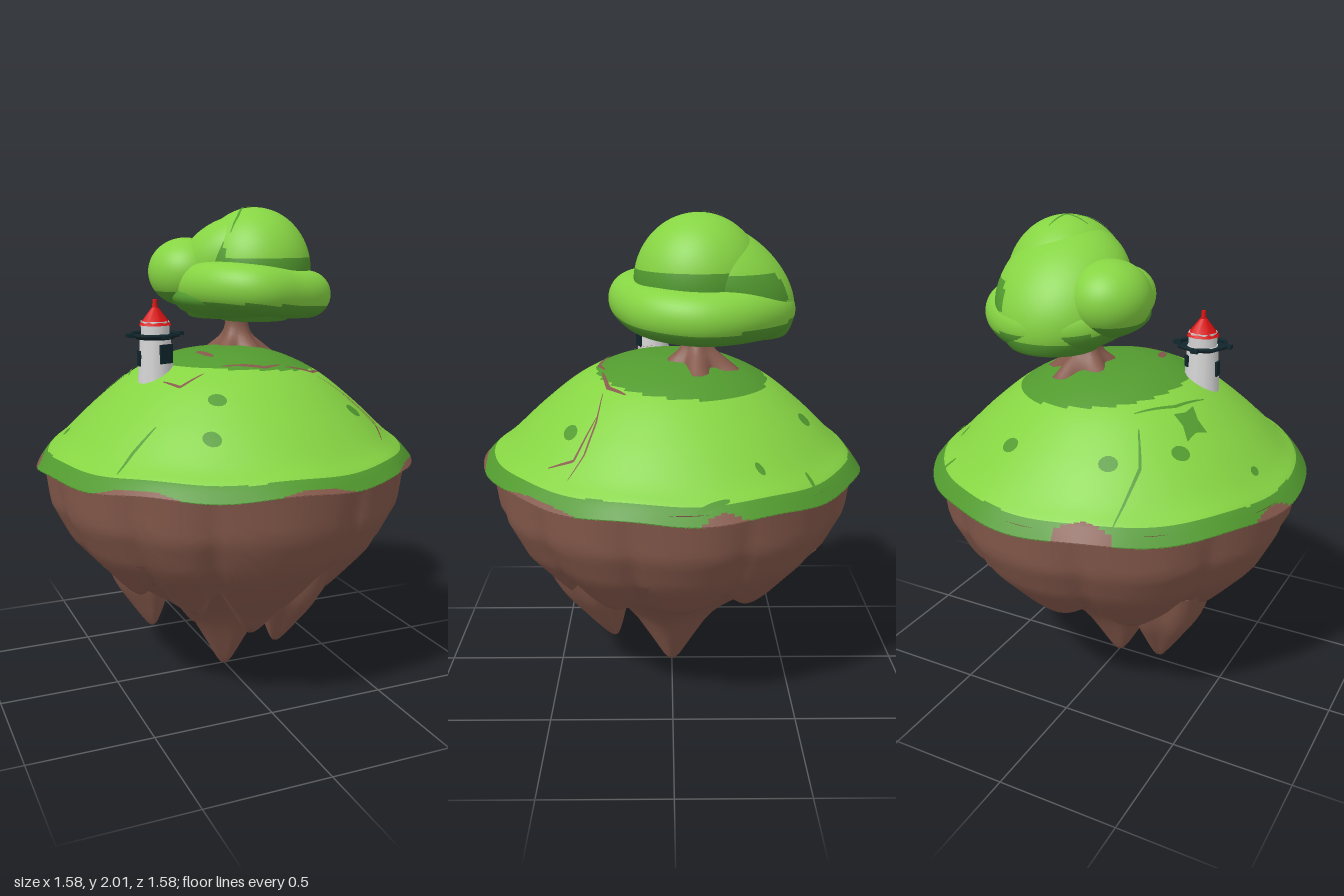
import * as THREE from 'three';
import { mergeVertices } from 'three/addons/utils/BufferGeometryUtils.js';

const mat = (name, color, side = THREE.FrontSide) => {
  const m = new THREE.MeshStandardMaterial({ color, side });
  m.name = name;
  return m;
};
const grass = mat('grass green', 0x86d443, THREE.DoubleSide), moss = mat('dark green', 0x529a2f, THREE.DoubleSide);
const rock = mat('rock brown', 0x85594b, THREE.DoubleSide), red = mat('roof red', 0xd81010);
const white = mat('tower white', 0xd4d4d4), navy = mat('dark navy', 0x10262c, THREE.DoubleSide);

const V2 = (x, y) => new THREE.Vector2(x, y);
const V3 = (x, y, z) => new THREE.Vector3(x, y, z);

// piecewise linear lookup in [[x, y], ...] with rising x
function lookup(table, x) {
  for (let i = 1; i < table.length; i++) {
    const [x0, y0] = table[i - 1], [x1, y1] = table[i];
    if (x <= x1) return y0 + (y1 - y0) * Math.max(0, (x - x0) / (x1 - x0));
  }
  return table[table.length - 1][1];
}

// move vertices by a rule, weld them and make smooth normals
function reshape(geo, rule) {
  const p = geo.attributes.position, v = V3();
  for (let i = 0; i < p.count; i++) {
    v.fromBufferAttribute(p, i);
    rule(v, i);
    p.setXYZ(i, v.x, v.y, v.z);
  }
  geo.deleteAttribute('normal');
  geo.deleteAttribute('uv');
  const out = mergeVertices(geo, 1e-4);
  out.computeVertexNormals();
  return out;
}

// sort the quads of a geometry into material groups by their centre
function paint(geo, count, pick) {
  const p = geo.attributes.position, idx = Array.from(geo.index.array), bins = Array.from({ length: count }, () => []);
  for (let i = 0; i < idx.length; i += 6) {
    const t = idx.slice(i, i + 6), c = V3();
    t.forEach(k => c.add(V3().fromBufferAttribute(p, k)));
    bins[pick(c.divideScalar(t.length))].push(...t);
  }
  geo.setIndex(bins.flat());
  let start = 0;
  bins.forEach((b, k) => { geo.addGroup(start, b.length, k); start += b.length; });
  return geo;
}

// heights of the grass dome and of the crown
const domeCurve = new THREE.SplineCurve([[0, 1.43], [0.12, 1.425], [0.25, 1.395], [0.4, 1.32], [0.55, 1.2], [0.68, 1.075], [0.745, 1.02], [0.79, 0.965]].map(a => V2(...a)));
const domeTable = domeCurve.getPoints(50).map(p => [p.x, p.y]);
const domeY = (x, z) => lookup(domeTable, Math.hypot(x, z));
const crownY = (x, z) => 1.74 + 0.26 * Math.sqrt(1 - ((x - 0.18) / 0.24) ** 2 - ((z + 0.1) / 0.25) ** 2);
// bare patches on the rim: angle, half width, inner radius
const barePatches = [[-2.85, 0.14, 0.735], [-1.83, 0.16, 0.765], [-0.83, 0.3, 0.772], [0.05, 0.3, 0.775], [0.86, 0.3, 0.772], [1.8, 0.12, 0.765]];

// rock lobes: start angle and lowest point of each
const lobes = [[-0.45, 0.28], [0.35, 0.48], [0.8, 0.47], [1.35, 0.48], [1.95, 0.47], [2.6, 0.46], [3.4, 0.4], [4.1, 0.49], [4.8, 0.47], [5.4, 0.4], [5.833, 0]];
const shellTable = [[0.2, 0.27], [0.35, 0.38], [0.5, 0.53], [0.65, 0.665], [0.8, 0.74], [1, 0.765]];
function lobeAt(angle) {
  const a = angle > 5.833 ? angle - Math.PI * 2 : angle;
  const i = Math.max(0, lobes.findIndex(l => l[0] > a) - 1);
  const u = (a - lobes[i][0]) / (lobes[i + 1][0] - lobes[i][0]);
  return [Math.max(0, Math.sin(u * Math.PI)), lobes[i][1]];
}

export function createModel() {
  const model = new THREE.Group();
  const add = (name, geo, material, parent = model) => {
    const m = new THREE.Mesh(geo, material);
    m.name = name;
    parent.add(m);
    return m;
  };

  // grass dome with dark rim, shaded patch under the tree and bare patches
  const domePts = [V2(0.73, 0.99), ...domeCurve.getPoints(80).reverse()];
  const dome = reshape(new THREE.LatheGeometry(domePts, 200), v => {
    const r = Math.hypot(v.x, v.z), a = Math.atan2(v.x, v.z), k = (r / 0.79) ** 8;
    const s = 1 + k * 0.003 * (Math.sin(a * 7) + Math.sin(a * 11 + 1));
    const lift = 0.008 * Math.sin(a * 9 + 2) + 0.015 * Math.max(0, Math.cos(a));
    v.set(v.x * s, v.y + k * lift, v.z * s);
  });
  add('grassDome', paint(dome, 3, c => {
    const r = Math.hypot(c.x, c.z), a = Math.atan2(c.x, c.z);
    if (c.y < 0.99 && r < 0.765) return 2;
    if (barePatches.some(([at, w, inner]) => Math.abs(a - at) < w && r > inner + 0.03 * ((a - at) / w) ** 2)) return 2;
    return r > 0.742 || Math.hypot(c.x - 0.045, c.z + 0.04) < 0.35 ? 1 : 0;
  }), [grass, moss, rock]);

  // outer shell of hanging rock lobes, turning inwards at the hem, with grassy seams at the back
  const rows = 16;
  const shellPts = Array.from({ length: rows + 1 }, (_, j) => V2(1, j));
  const shell = reshape(new THREE.LatheGeometry(shellPts, 160), (v, i) => {
    const j = i % (rows + 1);
    const angle = Math.floor(i / (rows + 1)) % 160 / 160 * Math.PI * 2;
    const [bulge, low] = lobeAt(angle);
    const hem = low + (0.57 - low) * (1 - bulge);
    const t = Math.max(0, j - 1) / (rows - 1);
    const y = hem + (0.995 - hem) * t;
    let r = lookup(shellTable, y) * (1 - (1 - Math.sqrt(bulge)) * 0.08 * (1 - t * 0.7));
    if (j === 0) r *= 0.72;
    v.set(Math.sin(angle) * r, j === 0 ? hem + 0.06 : y, Math.cos(angle) * r);
  });
  add('rockLobes', paint(shell, 2, c =>
    c.z < 0 && c.x < 0.3 && Math.hypot(c.x, c.z) < lookup(shellTable, c.y) * 0.88 ? 1 : 0), [rock, grass]);

  // inner rock core ending in the middle point, with side spikes
  const spike = (name, pts, x, z, leanX, leanZ, ripple) =>
    add(name, reshape(new THREE.LatheGeometry(new THREE.SplineCurve(pts.map(a => V2(...a))).getPoints(16), 40), v => {
      const a = Math.atan2(v.x, v.z), s = 1 + ripple * Math.sin(a * 5 + 0.6), h = v.y - pts[0][1];
      v.set(x + v.x * s + leanX * h, v.y, z + v.z * s + leanZ * h);
    }), rock);
  spike('rockCore', [[0, 0], [0.03, 0.02], [0.1, 0.14], [0.19, 0.28], [0.33, 0.4], [0.48, 0.51], [0.62, 0.66]], 0, 0, 0, 0, 0.06);
  const side = y => [[0, y], [0.025, y + 0.02], [0.08, y + 0.12], [0.14, y + 0.25], [0.17, y + 0.42]];
  spike('rockSpike', side(0.16), -0.28, -0.17, -0.16, -0.1, 0.08);
  spike('rockSpike', side(0.19), 0.13, 0.25, 0.1, 0.3, 0.08);
  spike('rockSpike', side(0.32), -0.22, 0.22, -0.2, 0.2, 0.08);

  // dark spots draped on the grass
  for (const [x, z, turn] of [[-0.22, -0.52, 0.4], [0.2, -0.53, -0.3], [-0.43, -0.34, 0.8], [-0.65, -0.13, 1.5], [0.57, -0.32, 1], [-0.2, 0.41, -0.6], [0.4, 0.39, 0.5], [-0.27, 0.53, -0.7]]) {
    const size = x > 0.5 || x < -0.6 ? 0.022 : 0.037;
    const g = new THREE.CircleGeometry(size, 14).scale(1, 0.65, 1).rotateX(-Math.PI / 2).rotateY(turn);
    add('grassSpot', reshape(g, v => v.set(v.x + x, domeY(v.x + x, v.z + z) + 0.004, v.z + z)), moss);
  }
  // star-shaped dark patch
  const star = new THREE.CircleGeometry(1, 8).rotateX(-Math.PI / 2);
  add('darkPatch', reshape(star, (v, i) => {
    const r = i === 0 ? 0 : i % 2 ? 0.075 : 0.04, x = -0.41 + (v.x * 0.8 + v.z * 0.3) * r, z = -0.21 + (v.z - v.x * 0.3) * r;
    v.set(x, domeY(x, z) + 0.005, z);
  }), moss);

  // thin cracks draped on a surface, as [x, z] paths tapering at the ends
  const crack = (material, width, path, height = domeY) => {
    const pts = new THREE.CatmullRomCurve3(path.map(([x, z]) => V3(x, 0, z)), false, 'catmullrom', 0.1).getPoints(20);
    const g = new THREE.PlaneGeometry(1, 1, 20, 1);
    add(height === domeY ? 'grassCrack' : 'crownCrack', reshape(g, (v, i) => {
      const k = i % 21, d = pts[Math.min(20, k + 1)].clone().sub(pts[Math.max(0, k - 1)]).normalize();
      const w = (i > 20 ? 1 : -1) * width * (0.25 + 0.75 * Math.sin(k / 20 * Math.PI));
      const x = pts[k].x - d.z * w, z = pts[k].z + d.x * w;
      v.set(x, height(x, z) + 0.006, z);
    }), material);
  };
  crack(moss, 0.006, [[-0.32, -0.68], [-0.33, -0.48], [-0.27, -0.37]]);
  crack(moss, 0.006, [[-0.4, -0.06], [-0.34, -0.2], [-0.23, -0.33]]);
  crack(moss, 0.007, [[-0.6, 0.42], [-0.53, 0.39], [-0.43, 0.37]]);
  crack(moss, 0.009, [[0.49, -0.5], [0.55, -0.54]]);
  crack(moss, 0.009, [[0.71, -0.2], [0.76, -0.08]]);
  crack(rock, 0.004, [[0.3, 0.27], [0.42, 0.29], [0.52, 0.33], [0.58, 0.39]]);
  crack(rock, 0.005, [[0.4, 0.29], [0.52, 0.37], [0.49, 0.47]]);
  crack(rock, 0.006, [[-0.34, 0.2], [-0.3, 0.28], [-0.2, 0.27]]);
  crack(rock, 0.016, [[-0.15, 0.07], [-0.12, 0.17]]);
  crack(rock, 0.009, [[-0.12, 0.26], [-0.03, 0.28], [0.05, 0.3], [0.13, 0.27]]);
  crack(rock, 0.008, [[0.15, 0.28], [0.28, 0.25], [0.35, 0.18]]);
  crack(moss, 0.006, [[0.07, -0.13], [0.17, -0.12], [0.19, -0.22]], crownY);
  crack(moss, 0.006, [[0.13, -0.1], [0.07, -0.02], [0.02, 0.02]], crownY);

  // tree trunk with flared roots
  const tree = new THREE.Group();
  tree.name = 'tree';
  model.add(tree);
  const trunkPts = [[0.14, 1.385], [0.1, 1.43], [0.065, 1.47], [0.05, 1.52], [0.06, 1.58], [0.09, 1.64]].map(a => V2(...a));
  add('trunk', reshape(new THREE.LatheGeometry(new THREE.SplineCurve(trunkPts).getPoints(14), 30), v => {
    const s = 1 + 0.25 * Math.max(0, (1.5 - v.y) / 0.1) * Math.sin(Math.atan2(v.x, v.z) * 5);
    v.set(0.1 + v.x * s, v.y, -0.1 + v.z * s);
  }), rock, tree);

  // foliage: blobs with a flat base and a wrapped roll, dark where the rule says so
  const leaves = (name, geo, isDark, lean = 0) =>
    add(name, paint(reshape(geo, v => { v.z += lean * (v.y - 1.7); v.y = Math.max(v.y, 1.53); }), 2, c => isDark(c) ? 1 : 0), [grass, moss], tree);
  const blob = (name, [x, y, z], [a, b, c], isDark, lean) =>
    leaves(name, new THREE.SphereGeometry(1, 72, 60).scale(a, b, c).translate(x, y, z), isDark, lean);
  blob('crown', [0.18, 1.74, -0.1], [0.24, 0.26, 0.25], c => c.y < 1.79 || c.x < -0.01);
  blob('crownBack', [0.14, 1.72, -0.215], [0.265, 0.25, 0.255], c => c.y < 1.58 || (c.x > 0.28 && c.y < 1.785), 0.4);
  blob('crownLeftLobe', [-0.08, 1.73, -0.24], [0.16, 0.145, 0.17], c => c.y < 1.65 || (c.x > -0.07 && c.z > -0.2));
  blob('crownUnderside', [0.15, 1.63, -0.13], [0.32, 0.1, 0.31], () => true);
  const roll = [[-0.02, 1.68, 0.06], [0.08, 1.67, 0.15], [0.22, 1.65, 0.12], [0.36, 1.64, 0.04], [0.415, 1.63, -0.1], [0.36, 1.63, -0.25], [0.18, 1.63, -0.38], [0, 1.64, -0.32], [-0.06, 1.67, -0.14]];
  leaves('crownRoll', new THREE.TubeGeometry(new THREE.CatmullRomCurve3(roll.map(a => V3(...a)), true), 120, 0.1, 40, true),
    c => c.y < 1.62 - 0.08 * Math.max(0, c.x - 0.05));

  // lighthouse
  const tower = new THREE.Group();
  tower.name = 'lighthouse';
  tower.position.set(-0.33, 0, 0.08);
  model.add(tower);
  const drum = (name, top, bottom, y0, y1, material, sides = 12) =>
    add(name, new THREE.CylinderGeometry(top, bottom, y1 - y0, sides).translate(0, (y0 + y1) / 2, 0), material, tower);
  drum('towerWall', 0.062, 0.074, 1.31, 1.5, white);
  drum('balconyFloor', 0.092, 0.075, 1.485, 1.497, navy, 8);
  drum('lampRoom', 0.058, 0.058, 1.495, 1.555, white);
  drum('roof', 0.014, 0.068, 1.54, 1.608, red, 8);
  drum('finial', 0.009, 0.012, 1.6, 1.64, red, 8);
  const rail = add('balconyRail', new THREE.TorusGeometry(0.1, 0.008, 6, 8), navy, tower);
  rail.rotation.x = Math.PI / 2;
  rail.position.y = 1.503;
  for (let i = 0; i < 4; i++) {
    const a = i * Math.PI / 2 + 0.1;
    const tip = add('balconyCorner', new THREE.BoxGeometry(0.03, 0.014, 0.03), navy, tower);
    tip.position.set(Math.sin(a) * 0.105, 1.502, Math.cos(a) * 0.105);
    tip.rotation.y = a;
  }
  // door and windows as thin plates on the wall
  for (const [name, a, y, w, h] of [['door', 0.35, 1.43, 0.06, 0.075], ['window', 2.4, 1.44, 0.025, 0.045], ['window', -1.6, 1.41, 0.03, 0.06]]) {
    const plate = add(name, new THREE.BoxGeometry(w, h, 0.009), navy, tower);
    plate.position.set(Math.sin(a) * 0.068, y, Math.cos(a) * 0.068);
    plate.rotation.y = a;
  }
  return model;
}
